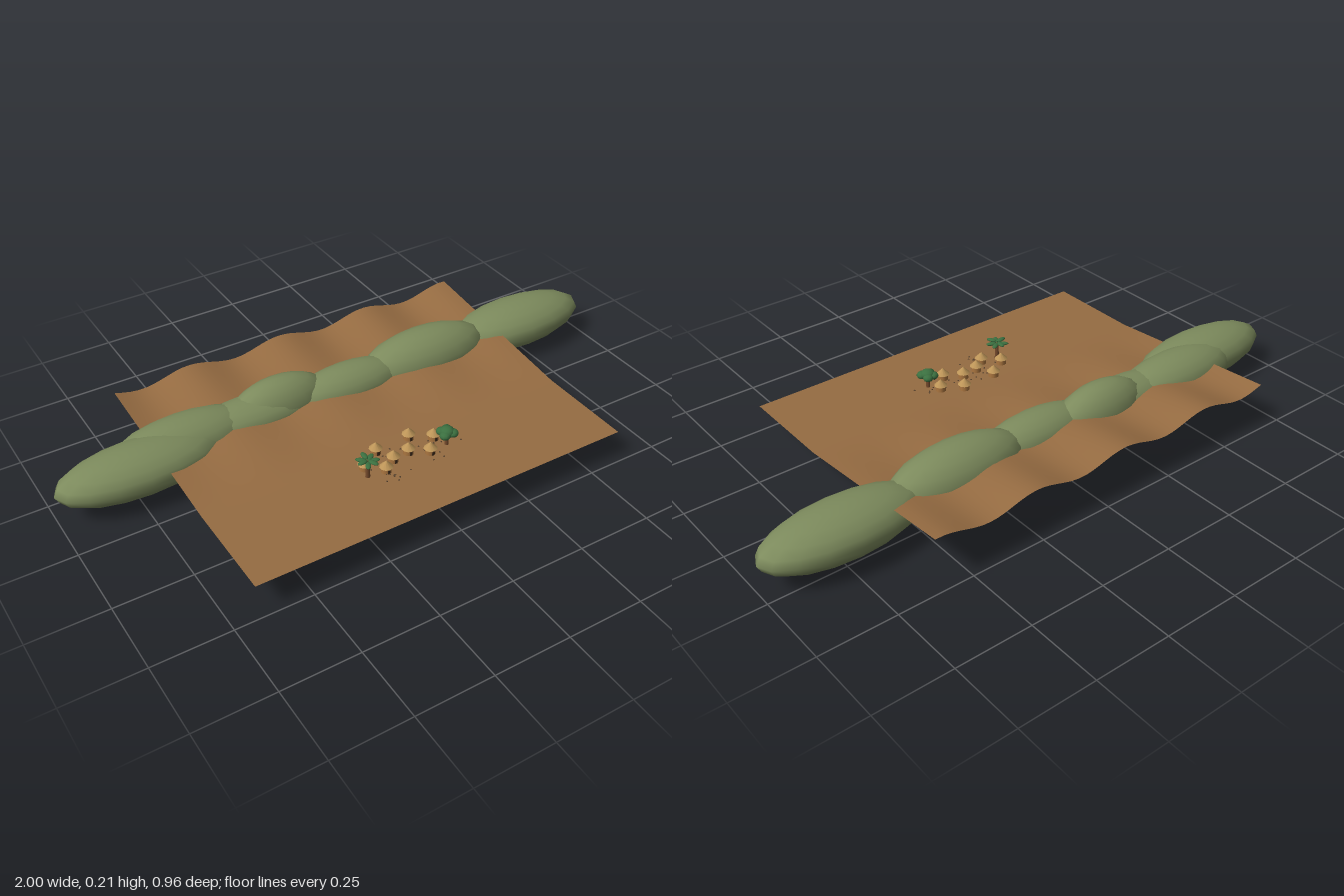
import * as THREE from 'three';

const GROUND = 0.107;
const mat = (name, color, side = THREE.FrontSide) => {
  const m = new THREE.MeshStandardMaterial({ color, side });
  m.name = name;
  return m;
};

export function createModel() {
  const earth = mat('earth', 0x966c42, THREE.DoubleSide);
  const hillGreen = mat('hill green', 0x7d8b5d);
  const clay = mat('clay wall', 0xa8743f);
  const thatch = mat('thatch', 0xbd9558);
  const wood = mat('wood', 0x74492b);
  const leaf = mat('leaf', 0x3b7040, THREE.DoubleSide);
  const stone = mat('dark stone', 0x5c4630);
  const door = mat('doorway', 0x3c2819);

  const model = new THREE.Group();
  model.name = 'hillVillage';
  const add = (parent, name, geo, material, x = 0, y = 0, z = 0) => {
    const m = new THREE.Mesh(geo, material);
    m.name = name;
    m.position.set(x, y, z);
    parent.add(m);
    return m;
  };
  const group = (name, x, z) => {
    const g = new THREE.Group();
    g.name = name;
    g.position.set(x, GROUND, z);
    model.add(g);
    return g;
  };

  // Ground sheet: flat in front, rising in ripples towards the back
  const ground = new THREE.PlaneGeometry(1.28, 0.96, 48, 32).rotateX(-Math.PI / 2).translate(-0.03, 0, 0);
  const p = ground.attributes.position;
  for (let i = 0; i < p.count; i++) {
    const t = Math.max(0, (0.15 - p.getZ(i)) / 0.63);
    const wave = Math.cos((2 * Math.PI * (p.getX(i) - 0.26)) / 0.335);
    p.setY(i, GROUND + t * (0.05 + 0.016 * wave));
  }
  ground.computeVertexNormals();
  add(model, 'ground', ground, earth);

  // Ridge of overlapping hills: x, z, then radii
  const hills = [
    [-0.73, -0.155, 0.27, 0.078, 0.107],
    [-0.56, -0.205, 0.25, 0.083, 0.097],
    [-0.32, -0.2, 0.24, 0.07, 0.086],
    [-0.22, -0.212, 0.18, 0.104, 0.083],
    [0.02, -0.187, 0.22, 0.078, 0.085],
    [0.33, -0.198, 0.25, 0.104, 0.104],
    [0.73, -0.21, 0.27, 0.08, 0.112],
  ];
  const hillGeo = new THREE.SphereGeometry(1, 16, 10);
  hills.forEach(([x, z, rx, ry, rz]) => {
    add(model, 'hill', hillGeo, hillGreen, x, 0.107, z).scale.set(rx, ry, rz);
  });

  // Round huts with conical thatched roofs
  const wallGeo = new THREE.CylinderGeometry(0.016, 0.017, 0.02, 10);
  const roofGeo = new THREE.ConeGeometry(0.022, 0.022, 10);
  const doorGeo = new THREE.BoxGeometry(0.008, 0.013, 0.002);
  [
    [-0.09, 0.165], [0.035, 0.158], [0.1, 0.2], [-0.005, 0.218],
    [-0.065, 0.226], [-0.16, 0.213], [-0.11, 0.257], [0.053, 0.253],
  ].forEach(([x, z]) => {
    const hut = group('hut', x, z);
    add(hut, 'hutWall', wallGeo, clay, 0, 0.01, 0);
    add(hut, 'hutRoof', roofGeo, thatch, 0, 0.03, 0);
    add(hut, 'hutDoor', doorGeo, door, 0, 0.007, 0.0165);
  });

  // Tall tree: leaning boughs with small leaf clusters
  const clump = new THREE.SphereGeometry(1, 10, 7);
  const tall = group('tallTree', -0.17, 0.248);
  add(tall, 'trunk', new THREE.CylinderGeometry(0.005, 0.008, 0.055, 7), wood, 0, 0.0275, 0);
  for (let i = 0; i < 7; i++) {
    const a = (i / 7) * Math.PI * 2 + 0.3;
    const frond = add(tall, 'frond', clump, leaf, 0.02 * Math.cos(a), 0.059 + 0.005 * (i % 2), 0.022 * Math.sin(a));
    frond.scale.set(0.018, 0.005, 0.009);
    frond.rotation.y = -a;
  }

  // Broad tree: low rounded crown
  const broad = group('broadTree', 0.12, 0.243);
  add(broad, 'trunk', new THREE.CylinderGeometry(0.005, 0.007, 0.04, 7), wood, 0, 0.02, 0);
  [
    [0, 0.048, 0, 0.024], [0.014, 0.044, 0.012, 0.018], [-0.014, 0.043, 0.01, 0.018],
    [0.01, 0.044, -0.016, 0.017], [-0.012, 0.045, -0.014, 0.017],
  ].forEach(([x, y, z, r]) => add(broad, 'crown', clump, leaf, x, y, z).scale.set(r, r * 0.72, r));

  // Pebbles scattered around the village
  let seed = 7;
  const rand = () => (seed = (seed * 16807) % 2147483647) / 2147483647;
  const pebbleGeo = new THREE.IcosahedronGeometry(0.003, 0);
  for (let i = 0; i < 34; i++) {
    const a = rand() * Math.PI * 2, r = 0.35 + 0.65 * rand();
    add(model, 'pebble', pebbleGeo, stone, -0.02 + 0.2 * r * Math.cos(a), GROUND + 0.0005, 0.25 + 0.085 * r * Math.sin(a));
  }
  return model;
}
